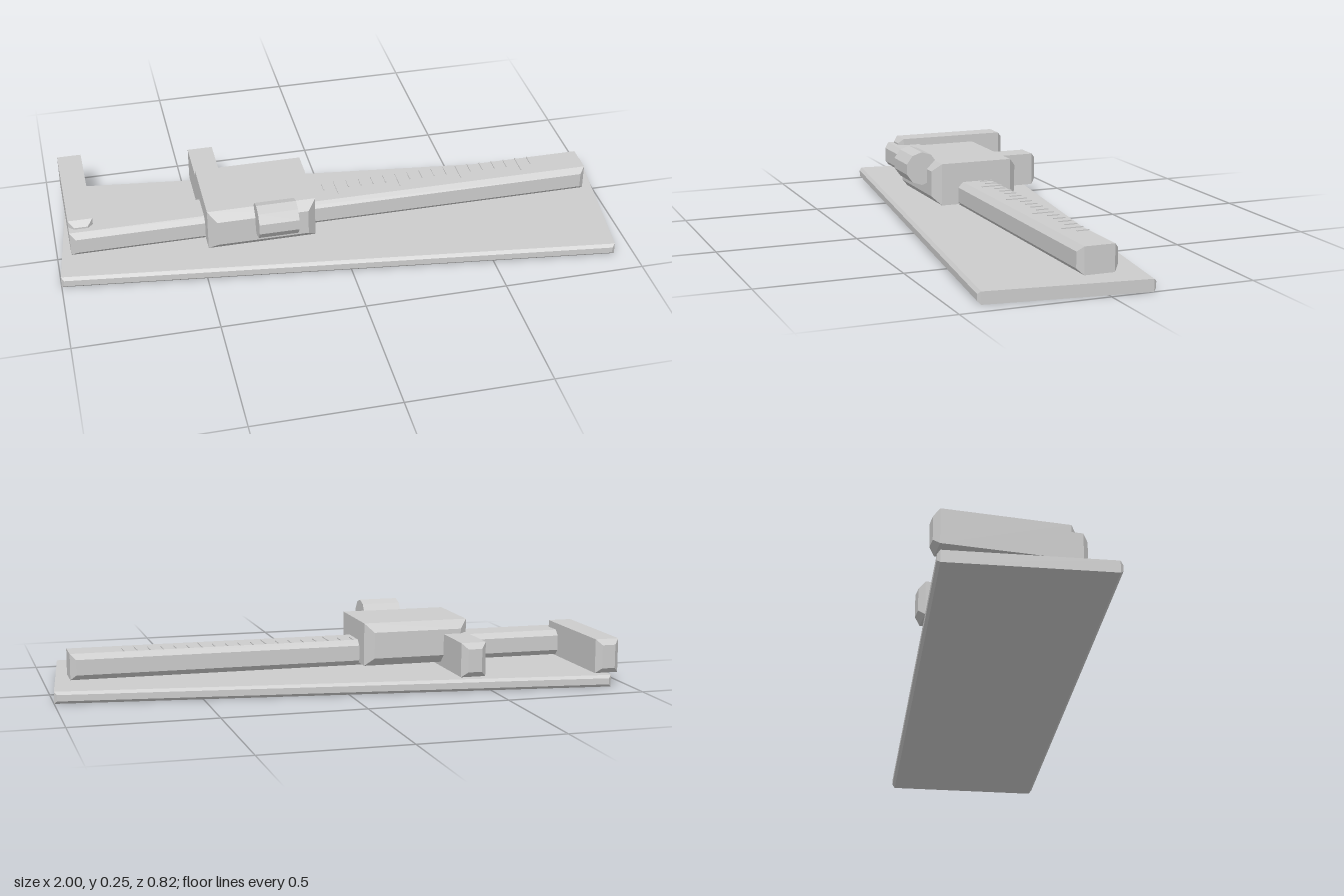
import * as THREE from 'three';

const metal = new THREE.MeshStandardMaterial({ color: 0xcccccc });
metal.name = 'light grey metal';

// Box whose front and back ends are chamfered by b
function chamferedBox(name, [x0, x1], [y0, y1], [z0, z1], b) {
  const w = (x1 - x0) / 2 - b, h = (y1 - y0) / 2 - b, d = z1 - z0 - 2 * b;
  const shape = new THREE.Shape([
    new THREE.Vector2(-w, -h), new THREE.Vector2(w, -h),
    new THREE.Vector2(w, h), new THREE.Vector2(-w, h),
  ]);
  const geometry = new THREE.ExtrudeGeometry(shape, {
    depth: d, bevelEnabled: true, bevelThickness: b, bevelSize: b, bevelSegments: 1,
  });
  geometry.translate(0, 0, -d / 2);
  const mesh = new THREE.Mesh(geometry, metal);
  mesh.name = name;
  mesh.position.set((x0 + x1) / 2, (y0 + y1) / 2, (z0 + z1) / 2);
  return mesh;
}

export function createModel() {
  const model = new THREE.Group();
  model.name = 'caliperOnPlate';

  // Base plate, turned slightly under the caliper
  const plate = chamferedBox('basePlate', [-0.973, 0.973], [0, 0.042], [-0.287, 0.287], 0.01);
  plate.rotation.y = -0.124;
  plate.position.z = 0.008;
  model.add(plate);

  // Rail, jaws and slider
  model.add(
    chamferedBox('rail', [-0.952, 0.932], [0.057, 0.149], [-0.063, 0.08], 0.019),
    chamferedBox('fixedJaw', [-0.952, -0.866], [0.053, 0.174], [-0.412, 0.042], 0.019),
    chamferedBox('slidingJaw', [-0.476, -0.386], [0.053, 0.174], [-0.357, 0.042], 0.02),
    chamferedBox('slider', [-0.48, -0.098], [0.068, 0.221], [-0.154, 0.173], 0.03),
  );

  // Ten-sided thumb roller on the slider's front
  const rollerGeometry = new THREE.CylinderGeometry(0.061, 0.061, 0.14, 10).toNonIndexed();
  rollerGeometry.computeVertexNormals();
  rollerGeometry.rotateZ(Math.PI / 2);
  rollerGeometry.rotateX(Math.PI / 2);
  const roller = new THREE.Mesh(rollerGeometry, metal);
  roller.name = 'thumbRoller';
  roller.position.set(-0.246, 0.194, 0.192);
  model.add(roller);

  // Scale marks on the rail, every fifth one longer
  const scale = new THREE.Group();
  scale.name = 'scaleMarks';
  for (let i = -2; i <= 16; i++) {
    const length = i % 5 === 0 ? 0.076 : 0.044;
    const mark = new THREE.Mesh(new THREE.BoxGeometry(0.004, 0.005, length), metal);
    mark.name = 'scaleMark';
    mark.position.set(0.012 + i * 0.0458, 0.15, -0.044 + length / 2);
    scale.add(mark);
  }
  model.add(scale);

  return model;
}
